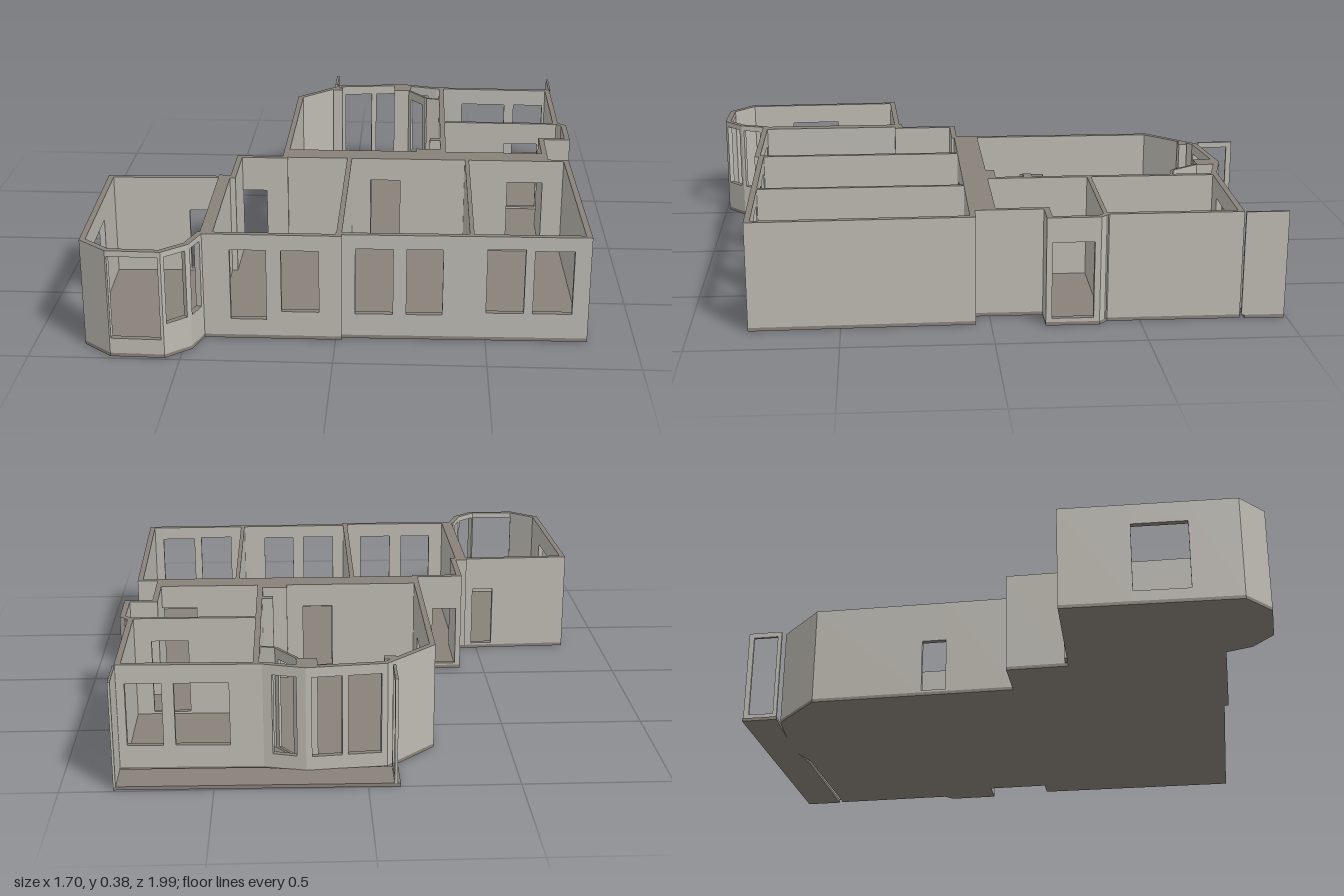
import * as THREE from 'three';

const H = 0.375, BASE = 0.012;

export function createModel() {
  const group = new THREE.Group();
  const wallMat = new THREE.MeshStandardMaterial({ color: 0xbdbab2 });
  wallMat.name = 'wallGrey';
  const floorMat = new THREE.MeshStandardMaterial({ color: 0x89827a });
  floorMat.name = 'floorBrown';

  // Upright prism over a plan polygon of [x, z] points
  function prism(parent, name, pts, y0, y1, mats) {
    const shape = new THREE.Shape(pts.map(([x, z]) => new THREE.Vector2(x, -z)));
    const g = new THREE.ExtrudeGeometry(shape, { depth: y1 - y0, bevelEnabled: false });
    g.rotateX(-Math.PI / 2);
    g.translate(0, y0, 0);
    const mesh = new THREE.Mesh(g, mats);
    mesh.name = name;
    parent.add(mesh);
  }

  // Wall from a to b, thickness t to its right-hand side; ia, ib are mitred inner corners.
  // Each opening is [from, to, sill, head], measured along the wall's longer plan axis.
  function wall(name, a, b, t, openings = [], ia, ib) {
    const part = new THREE.Group();
    part.name = name;
    group.add(part);
    const dx = b[0] - a[0], dz = b[1] - a[1], len = Math.hypot(dx, dz);
    const n = [-dz / len * t, dx / len * t];
    const k = Math.abs(dx) > Math.abs(dz) ? 0 : 1;
    const outer = f => [a[0] + dx * f, a[1] + dz * f];
    const inner = f => {
      if (f === 0 && ia) return ia;
      if (f === 1 && ib) return ib;
      const p = outer(f);
      return [p[0] + n[0], p[1] + n[1]];
    };
    const piece = (f, g, y0, y1, label) => {
      if (g - f > 1e-4 && y1 - y0 > 1e-4) {
        prism(part, label, [outer(f), outer(g), inner(g), inner(f)], y0, y1, [floorMat, wallMat]);
      }
    };
    const cuts = openings.map(([p, q, s, h]) => {
      const f = (p - a[k]) / (b[k] - a[k]), g = (q - a[k]) / (b[k] - a[k]);
      return [Math.min(f, g), Math.max(f, g), s, h];
    }).sort((u, v) => u[0] - v[0]);
    let at = 0;
    for (const [f, g, s, h] of cuts) {
      piece(at, f, BASE, H, 'pier');
      piece(f, g, BASE, s, 'sill');
      piece(f, g, h, H, 'lintel');
      at = g;
    }
    piece(at, 1, BASE, H, 'pier');
  }

  // Outer outline: corner, then the openings in the wall that starts there
  const outline = [
    [-0.24, 0.06, [[-0.28, -0.19, 0.02, 0.22]]],
    [-0.24, -0.69],
    [-0.07, -0.86, [[-0.05, 0.06, 0.06, 0.34], [0.08, 0.18, 0.06, 0.34]]],
    [0.2, -0.89, [[0.23, 0.31, 0.06, 0.34]]],
    [0.34, -0.85, [[0.45, 0.63, 0.09, 0.31], [0.67, 0.79, 0.09, 0.31]]],
    [0.82, -0.84],
    [0.82, -0.39],
    [0.85, -0.36, [[-0.34, -0.2, 0.025, 0.29]]],
    [0.85, -0.18],
    [0.75, -0.18],
    [0.75, 0.05],
    [0.825, 0.05],
    [0.84, 0.805, [[0.655, 0.785, 0.1, 0.325], [0.5, 0.625, 0.1, 0.33],
      [0.235, 0.355, 0.09, 0.325], [0.065, 0.19, 0.09, 0.325]]],
    [0.02, 0.815],
    [0.02, 0.83, [[-0.18, -0.055, 0.1, 0.32], [-0.35, -0.23, 0.07, 0.32]]],
    [-0.44, 0.83, [[0.845, 0.91, 0.12, 0.355]]],
    [-0.47, 0.92, [[-0.54, -0.48, 0.12, 0.355]]],
    [-0.55, 0.99, [[-0.725, -0.56, 0.065, 0.355]]],
    [-0.73, 0.985],
    [-0.83, 0.9, [[0.54, 0.73, 0.05, 0.3]]],
    [-0.85, 0.295, [[-0.56, -0.48, 0.02, 0.25]]],
    [-0.41, 0.28],
    [-0.41, 0.06, [[-0.39, -0.3, 0.02, 0.245]]],
  ];
  const N = outline.length, T = 0.02;

  // Mitred inner corners, found from the neighbouring wall directions
  const inset = outline.map((p, i) => {
    const prev = outline[(i + N - 1) % N], next = outline[(i + 1) % N];
    const u = new THREE.Vector2(p[0] - prev[0], p[1] - prev[1]).normalize();
    const v = new THREE.Vector2(next[0] - p[0], next[1] - p[1]).normalize();
    const s = T / (1 + u.dot(v));
    return [p[0] - (u.y + v.y) * s, p[1] + (u.x + v.x) * s];
  });

  // Floor slabs
  prism(group, 'floorSlab', outline.map(p => [p[0], p[1]]), 0, BASE, floorMat);
  prism(group, 'balconySlab', [[-0.105, -1], [0.825, -0.99], [0.825, -0.855], [0.35, -0.86],
    [0.2, -0.885], [-0.105, -0.865]], 0, BASE, floorMat);

  // Outer walls
  outline.forEach((p, i) => {
    const j = (i + 1) % N;
    wall('outerWall', p, outline[j], T, p[2], inset[i], inset[j]);
  });

  // Thick cross wall with doorways
  wall('crossWall', [-0.235, -0.02], [0.75, -0.02], 0.09,
    [[0.09, 0.2, 0.02, 0.29], [0.6, 0.735, 0.02, 0.29]]);

  // Front room partitions
  wall('frontPartition', [0.02, 0.06], [0.02, 0.82], 0.018);
  wall('frontPartition', [0.455, 0.06], [0.455, 0.8], 0.015);
  wall('bayPartition', [-0.41, 0.27], [-0.405, 0.82], 0.042);

  // Back room partitions
  wall('backPartition', [0.37, -0.84], [0.37, -0.02], 0.02);
  wall('backCrossPartition', [0.36, -0.39], [0.83, -0.385], 0.015, [[0.61, 0.74, 0.02, 0.29]]);

  // Piers in the corners of the large back room
  prism(group, 'cornerPier', [[0.26, -0.05], [0.36, -0.05], [0.36, -0.02], [0.26, -0.02]],
    BASE, H, [floorMat, wallMat]);
  prism(group, 'doorPier', [[0.31, -0.18], [0.36, -0.18], [0.36, -0.15], [0.31, -0.15]],
    BASE, H, [floorMat, wallMat]);
  prism(group, 'windowPier', [[0.16, -0.87], [0.23, -0.87], [0.23, -0.8], [0.16, -0.8]],
    BASE, H, [floorMat, wallMat]);
  prism(group, 'windowPier', [[-0.1, -0.82], [-0.06, -0.82], [-0.06, -0.79], [-0.1, -0.79]],
    BASE, H, [floorMat, wallMat]);

  // Angled screen by the balcony door
  wall('angledScreen', [0.23, -0.8], [0.3, -0.7], 0.01, [[-0.785, -0.715, 0.02, 0.34]]);
  wall('angledScreen', [0.3, -0.7], [0.36, -0.685], 0.01);

  // Balcony ends: open frame on one side, solid panel on the other
  wall('balconyFrame', [-0.095, -0.87], [-0.095, -1], 0.01, [[-0.98, -0.885, 0.03, 0.355]]);
  wall('balconyPanel', [0.825, -0.99], [0.825, -0.845], 0.008);

  return group;
}
